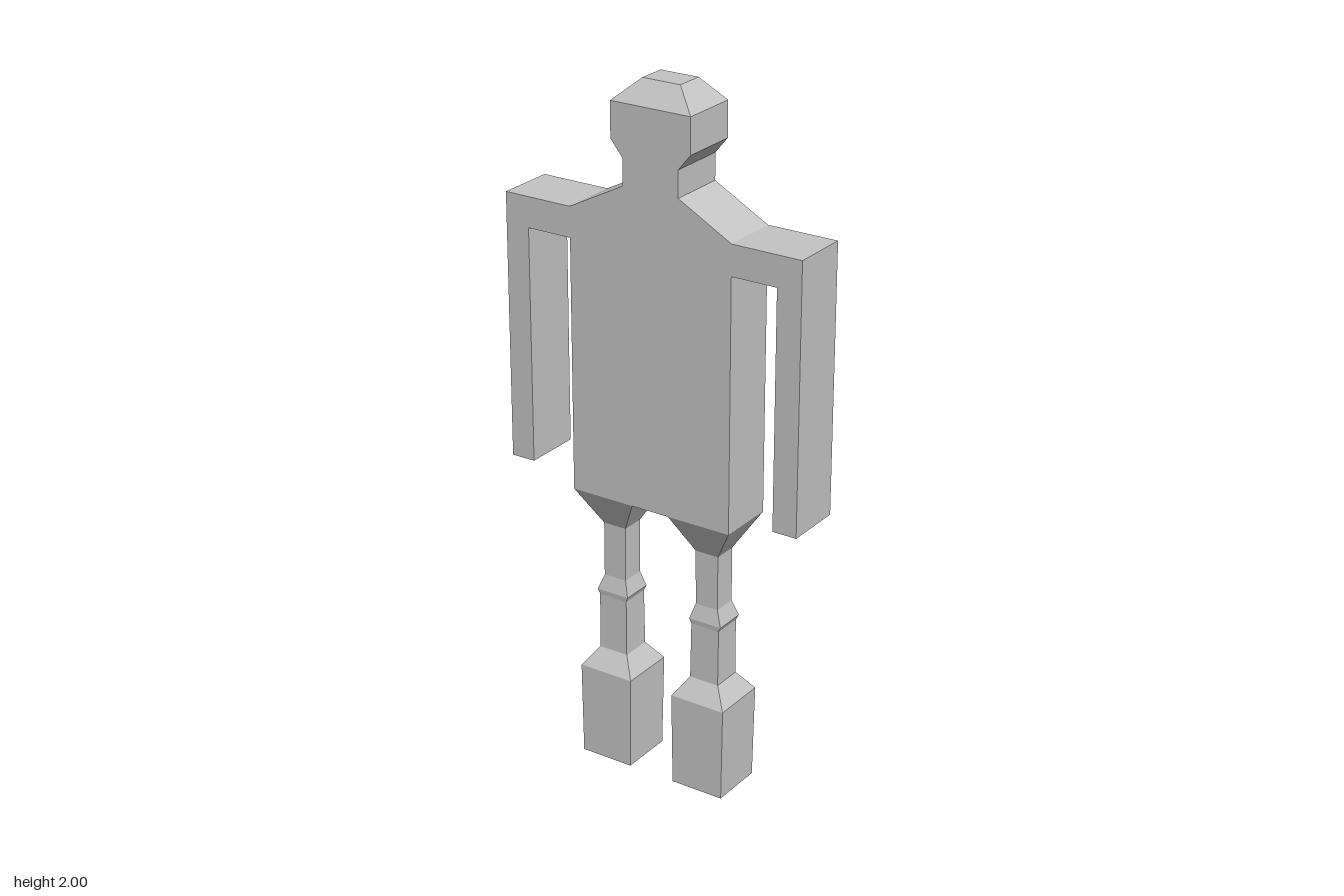
import * as THREE from 'three';

// Faceted column of rectangular rings, bottom to top: [y, x0, x1, z0, z1]
function boxLoft(rings) {
  const pos = [], idx = [];
  for (const [y, x0, x1, z0, z1] of rings) {
    pos.push(x0, y, z1, x1, y, z1, x1, y, z0, x0, y, z0);
  }
  for (let r = 0; r < rings.length - 1; r++) {
    for (let i = 0; i < 4; i++) {
      const a = r * 4 + i, b = r * 4 + (i + 1) % 4;
      idx.push(a, b, b + 4, a, b + 4, a + 4);
    }
  }
  const t = (rings.length - 1) * 4;
  idx.push(0, 2, 1, 0, 3, 2, t, t + 1, t + 2, t, t + 2, t + 3);
  const indexed = new THREE.BufferGeometry();
  indexed.setAttribute('position', new THREE.Float32BufferAttribute(pos, 3));
  indexed.setIndex(idx);
  const geo = indexed.toNonIndexed();
  geo.computeVertexNormals();
  return geo;
}

export function createModel() {
  const model = new THREE.Group();
  model.name = 'figure';
  const grey = new THREE.MeshStandardMaterial({ color: 0xc4c4c4, flatShading: true });
  grey.name = 'plain grey';
  const D = 0.085; // half thickness

  const add = (name, geo) => {
    const mesh = new THREE.Mesh(geo, grey);
    mesh.name = name;
    model.add(mesh);
  };

  // Flat slab: head, neck, sloping shoulders, trunk and hanging arms in one outline
  const side = [
    [0.25, 0.82], [0.25, 1.545], [0.385, 1.545], [0.385, 0.868], [0.457, 0.868],
    [0.457, 1.632], [0.25, 1.632], [0.085, 1.72], [0.085, 1.795], [0.122, 1.84], [0.122, 1.94],
  ];
  const headShift = (x, y) => (y > 1.7 ? x + 0.004 : x);
  const outline = [
    ...side.map(([x, y]) => new THREE.Vector2(headShift(x, y), y)),
    ...side.slice().reverse().map(([x, y]) => new THREE.Vector2(headShift(-x, y), y)),
  ];
  const slab = new THREE.ExtrudeGeometry(new THREE.Shape(outline), { depth: 2 * D, bevelEnabled: false });
  slab.translate(0, 0, -D);
  add('body', slab);

  // Tapered crown of the head
  add('crown', boxLoft([
    [1.94, -0.118, 0.126, -D, D],
    [2.0, -0.05, 0.065, -0.042, 0.04],
  ]));

  // Legs: block foot, shin, knee ridge, thin thigh, flared hip
  const leg = [
    [0, 0.072, 0.232, -0.078, 0.082],
    [0.275, 0.068, 0.236, -0.082, 0.083],
    [0.33, 0.106, 0.196, -0.043, 0.047],
    [0.495, 0.108, 0.196, -0.041, 0.045],
    [0.51, 0.102, 0.203, -0.045, 0.047],
    [0.555, 0.116, 0.186, -0.034, 0.036],
    [0.715, 0.115, 0.186, -0.034, 0.036],
    [0.82, 0.058, 0.25, -D, D],
  ];
  add('leftLeg', boxLoft(leg));
  add('rightLeg', boxLoft(leg.map(([y, x0, x1, z0, z1]) => [y, -x1, -x0, z0, z1])));

  return model;
}
